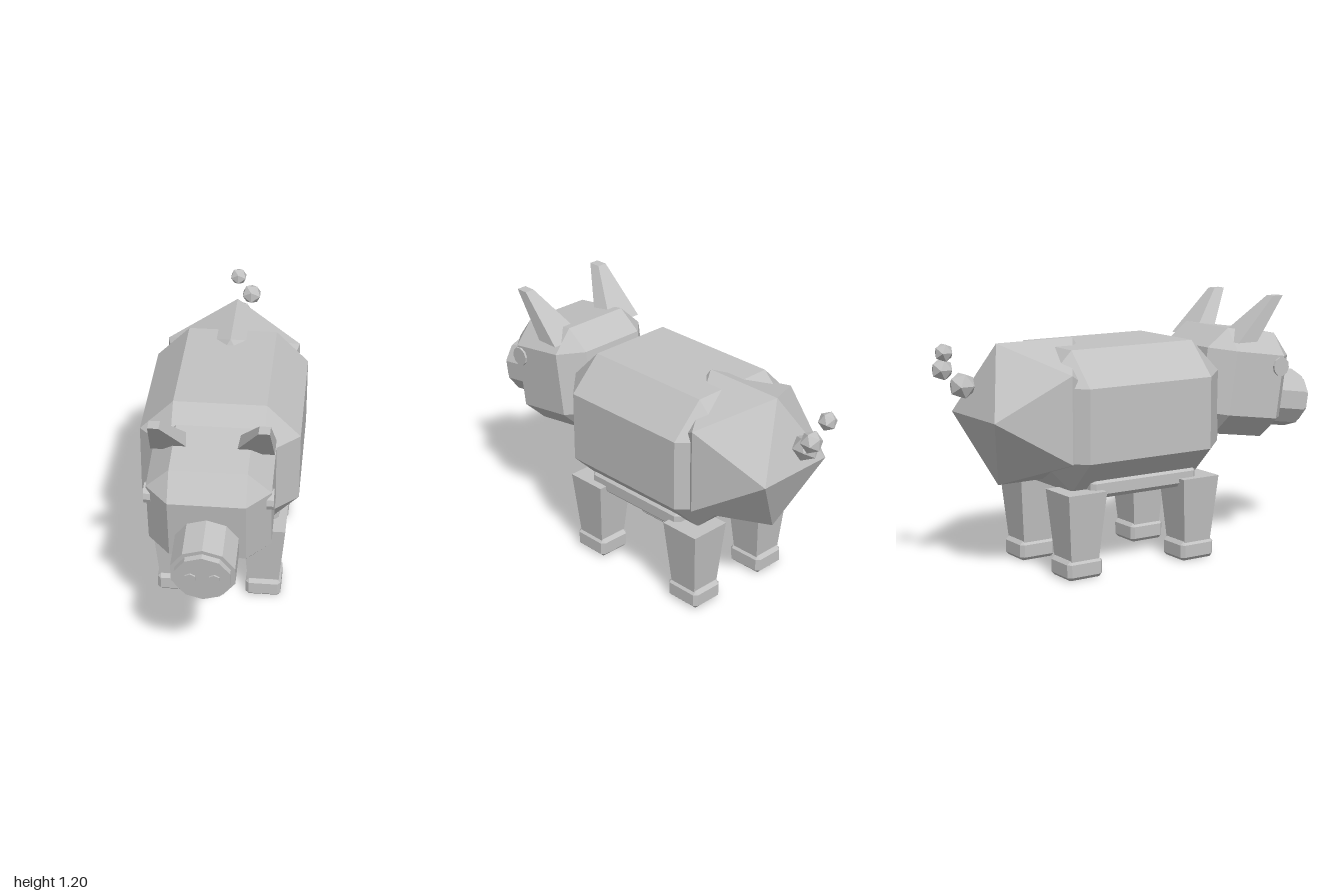
import * as THREE from 'three';
import { ConvexGeometry } from 'three/addons/geometries/ConvexGeometry.js';

const SIGNS = [-1, 1];

export function createModel() {
  const grey = new THREE.MeshStandardMaterial({ color: 0xc2c2c2 });
  grey.name = 'plain grey';
  const model = new THREE.Group();
  model.name = 'pig';

  function add(parent, name, geometry, x = 0, y = 0, z = 0) {
    // Unshared vertices give every facet its own normal
    const flat = geometry.index ? geometry.toNonIndexed() : geometry;
    flat.computeVertexNormals();
    const mesh = new THREE.Mesh(flat, grey);
    mesh.name = name;
    mesh.position.set(x, y, z);
    parent.add(mesh);
    return mesh;
  }

  // Box with every edge and corner cut at 45 degrees
  function chamferBox(w, h, d, c) {
    const points = [];
    for (const sx of SIGNS) for (const sy of SIGNS) for (const sz of SIGNS) {
      const x = w / 2, y = h / 2, z = d / 2;
      points.push(
        new THREE.Vector3(sx * x, sy * (y - c), sz * (z - c)),
        new THREE.Vector3(sx * (x - c), sy * y, sz * (z - c)),
        new THREE.Vector3(sx * (x - c), sy * (y - c), sz * z));
    }
    return new ConvexGeometry(points);
  }

  // Cylinder lying along z, with a corner at the top
  const disc = (radius, length, sides) =>
    new THREE.CylinderGeometry(radius, radius, length, sides).rotateX(Math.PI / 2);

  // Body, belly and faceted rump
  add(model, 'body', chamferBox(0.72, 0.635, 0.95, 0.152), 0, 0.6975, -0.115);
  add(model, 'belly', chamferBox(0.54, 0.09, 0.57, 0.02), 0, 0.394, -0.085);
  add(model, 'rump', new THREE.IcosahedronGeometry(0.372).rotateX(Math.PI / 2), 0, 0.725, -0.5);

  // Head, tipped slightly forward
  const head = new THREE.Group();
  head.name = 'head';
  head.position.set(0, 0.781, 0.548);
  head.rotation.x = 0.15;
  model.add(head);
  add(head, 'skull', chamferBox(0.53, 0.5, 0.48, 0.1));
  add(head, 'snout', disc(0.142, 0.175, 10), 0, -0.067, 0.3345);
  add(head, 'snoutPad', disc(0.123, 0.04, 10), 0, -0.067, 0.428);
  for (const s of SIGNS) {
    const side = s > 0 ? 'left' : 'right';
    add(head, side + 'Nostril', disc(0.025, 0.02, 6), s * 0.05, -0.06, 0.445);
    add(head, side + 'Eye',
      new THREE.CylinderGeometry(0.045, 0.045, 0.03, 10).rotateZ(Math.PI / 2),
      s * 0.26, 0.0985, 0.124);

    // Ear: tapered block leaning forward and outward
    const ear = [];
    for (const [x, z] of [[0.085, 0.435], [0.265, 0.435], [0.265, 0.545], [0.085, 0.545]])
      ear.push(new THREE.Vector3(s * x, 0.988, z));
    for (const [x, z] of [[0.205, 0.645], [0.252, 0.645], [0.252, 0.703], [0.205, 0.703]])
      ear.push(new THREE.Vector3(s * x, 1.195, z));
    add(model, side + 'Ear', new ConvexGeometry(ear));
  }

  // Legs: square tapers with chamfered hooves
  for (const [end, z] of [['front', 0.196], ['rear', -0.417]]) {
    for (const s of SIGNS) {
      const leg = new THREE.Group();
      leg.name = end + (s > 0 ? 'LeftLeg' : 'RightLeg');
      leg.position.set(s * 0.208, 0, z);
      model.add(leg);
      const taper = new THREE.CylinderGeometry(0.099 * Math.SQRT2, 0.07 * Math.SQRT2, 0.33, 4)
        .rotateY(Math.PI / 4);
      add(leg, 'shank', taper, 0, 0.225, 0);
      add(leg, 'hoof', chamferBox(0.165, 0.09, 0.182, 0.016), 0, 0.045, 0);
    }
  }

  // Curly tail made of shrinking beads
  const tail = new THREE.Group();
  tail.name = 'tail';
  model.add(tail);
  for (const [x, y, z, r] of [[0, 0.87, -0.865, 0.062], [0.05, 0.94, -0.935, 0.051], [-0.018, 1.023, -0.96, 0.043]])
    add(tail, 'tailBead', new THREE.IcosahedronGeometry(r), x, y, z);

  return model;
}
